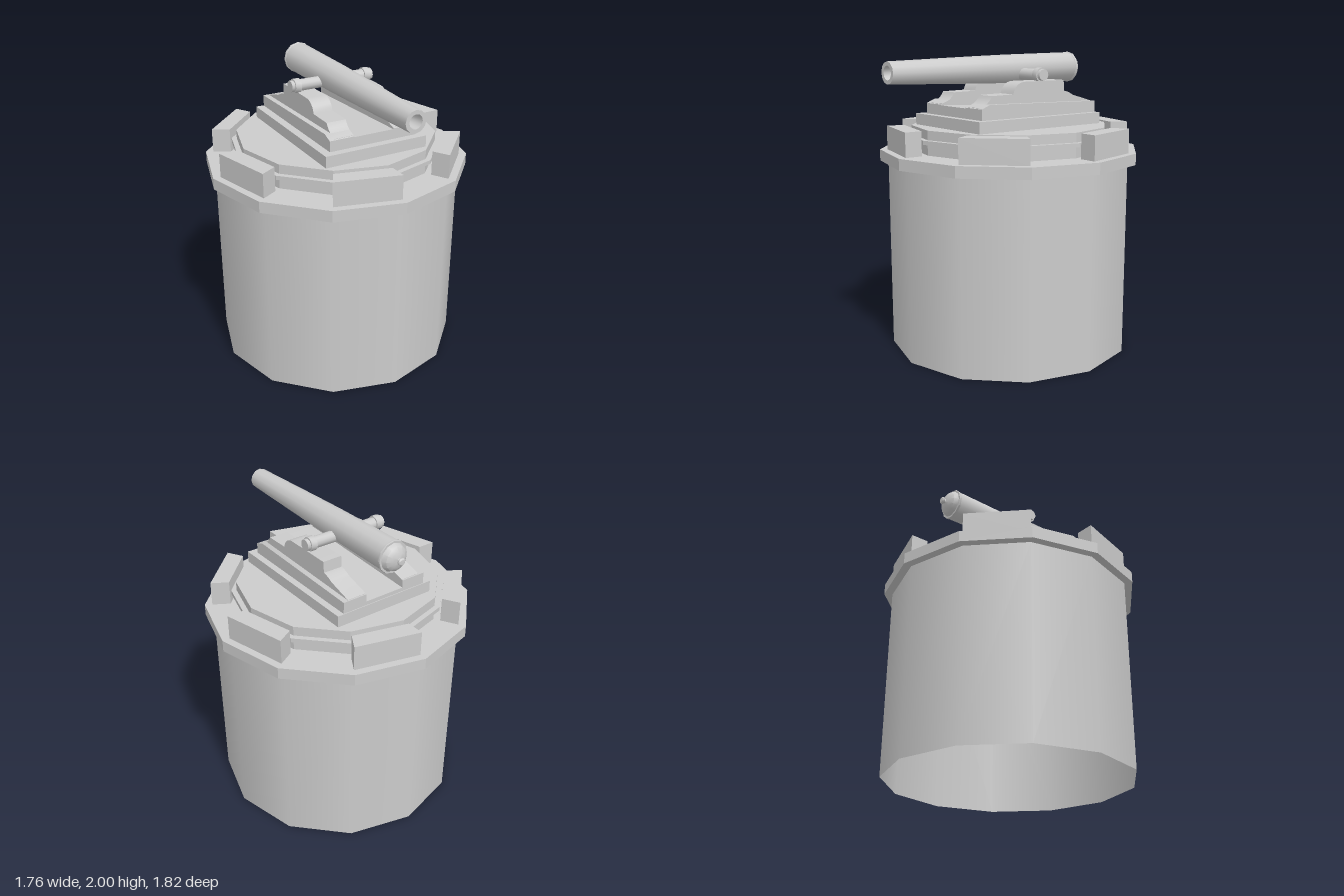
import * as THREE from 'three';
import { toCreasedNormals } from 'three/addons/utils/BufferGeometryUtils.js';

const smooth = new THREE.MeshStandardMaterial({ color: 0xcccccc });
const flat = new THREE.MeshStandardMaterial({ color: 0xcccccc, flatShading: true });
const open = new THREE.MeshStandardMaterial({ color: 0xcccccc, side: THREE.DoubleSide });

const SIDES = 12;

function add(parent, name, geometry, material = smooth) {
  const mesh = new THREE.Mesh(geometry, material);
  mesh.name = name;
  parent.add(mesh);
  return mesh;
}

// Twelve-sided drum between two heights
function drum(radius, y0, y1, openEnded = false) {
  return new THREE.CylinderGeometry(radius, radius, y1 - y0, SIDES, 1, openEnded)
    .translate(0, (y0 + y1) / 2, 0);
}

// Box given by its limits
function block(x0, x1, y0, y1, z0, z1) {
  return new THREE.BoxGeometry(x1 - x0, y1 - y0, z1 - z0)
    .translate((x0 + x1) / 2, (y0 + y1) / 2, (z0 + z1) / 2);
}

// Side profile drawn as (-z, y), extruded from x0 to x1
function sideProfile(shape, x0, x1) {
  const geometry = new THREE.ExtrudeGeometry(shape, {
    depth: x1 - x0, bevelEnabled: false, curveSegments: 6,
  });
  geometry.rotateY(Math.PI / 2).translate(x0, 0, 0);
  return toCreasedNormals(geometry, 0.5);
}

function polygon(points) {
  return new THREE.Shape(points.map(([z, y]) => new THREE.Vector2(-z, y)));
}

function buildTower() {
  const tower = new THREE.Group();
  tower.name = 'tower';
  tower.position.z = -0.03;
  add(tower, 'towerWall', drum(0.825, 0, 1.29, true), open);
  add(tower, 'rimSlab', drum(0.88, 1.29, 1.365), flat);
  add(tower, 'gunPlatform', drum(0.665, 1.365, 1.525), flat);
  add(tower, 'platformCollar', drum(0.7, 1.437, 1.464), flat);

  // Parapet blocks on every other side
  const corner = (r, a) => new THREE.Vector2(r * Math.sin(a), r * Math.cos(a));
  const step = Math.PI / 6;
  const plan = new THREE.Shape([
    corner(0.71, 0), corner(0.83, 0), corner(0.83, step), corner(0.71, step),
  ]);
  const merlon = new THREE.ExtrudeGeometry(plan, { depth: 0.16, bevelEnabled: false })
    .rotateX(-Math.PI / 2).translate(0, 1.365, 0);
  for (let i = 0; i < 6; i++) {
    add(tower, 'parapetBlock', merlon, flat).rotation.y = i * Math.PI / 3;
  }
  return tower;
}

function buildCarriage() {
  const carriage = new THREE.Group();
  carriage.name = 'carriage';
  add(carriage, 'carriageBase', block(-0.355, 0.365, 1.525, 1.6, -0.525, 0.495));

  // Sloping deck between the two rails
  const deck = polygon([[0.443, 1.6], [0.443, 1.665], [-0.52, 1.625], [-0.52, 1.6]]);
  add(carriage, 'carriageDeck', sideProfile(deck, -0.13, 0.15));

  const rail = polygon([
    [0.443, 1.6], [0.443, 1.67], [0.38, 1.695], [-0.52, 1.675], [-0.52, 1.6],
  ]);

  // Stepped cheek with a cove at the front and a rounded shoulder
  const cheek = new THREE.Shape();
  cheek.moveTo(-0.435, 1.65);
  cheek.lineTo(-0.435, 1.675);
  cheek.quadraticCurveTo(-0.36, 1.69, -0.335, 1.745);
  cheek.lineTo(-0.165, 1.748);
  cheek.quadraticCurveTo(-0.145, 1.822, -0.07, 1.824);
  cheek.lineTo(0.265, 1.824);
  cheek.lineTo(0.27, 1.752);
  cheek.quadraticCurveTo(0.3, 1.75, 0.35, 1.722);
  cheek.lineTo(0.51, 1.677);
  cheek.lineTo(0.51, 1.65);

  for (const side of [-1, 1]) {
    const span = (inner, outer) => [0.01 + side * inner, 0.01 + side * outer].sort((a, b) => a - b);
    add(carriage, 'sideRail', sideProfile(rail, ...span(0.14, 0.31)));
    add(carriage, 'cheek', sideProfile(cheek, ...span(0.14, 0.273)));
  }
  return carriage;
}

function buildCannon() {
  const cannon = new THREE.Group();
  cannon.name = 'cannon';

  // Barrel profile as (radius, z), from rear knob to muzzle and into the bore
  const profile = [
    [0, -0.652], [0.018, -0.65], [0.026, -0.643], [0.024, -0.634], [0.014, -0.628],
    [0.016, -0.622], [0.05, -0.615], [0.078, -0.595], [0.092, -0.566],
    [0.105, -0.566], [0.107, -0.558], [0.105, -0.55], [0.102, -0.548],
    [0.095, 0], [0.089, 0.25], [0.07, 0.91], [0.045, 0.91], [0.04, 0.8], [0, 0.8],
  ].map(([r, z]) => new THREE.Vector2(r, z));
  const barrel = new THREE.LatheGeometry(profile, SIDES).rotateX(Math.PI / 2);
  add(cannon, 'barrel', toCreasedNormals(barrel, 0.6)).position.set(-0.006, 1.894, 0);

  // Cross pin that carries the barrel, with a collar near each end
  const pin = (r, x0, x1) => toCreasedNormals(
    new THREE.CylinderGeometry(r, r, x1 - x0, SIDES)
      .rotateZ(Math.PI / 2).translate((x0 + x1) / 2, 1.862, -0.083), 0.6);
  add(cannon, 'trunnion', pin(0.038, -0.303, 0.292));
  for (const x of [-0.26, 0.248]) {
    add(cannon, 'trunnionCollar', pin(0.047, x - 0.021, x + 0.021));
  }
  return cannon;
}

export function createModel() {
  const model = new THREE.Group();
  model.name = 'gunTower';
  model.add(buildTower(), buildCarriage(), buildCannon());
  return model;
}
